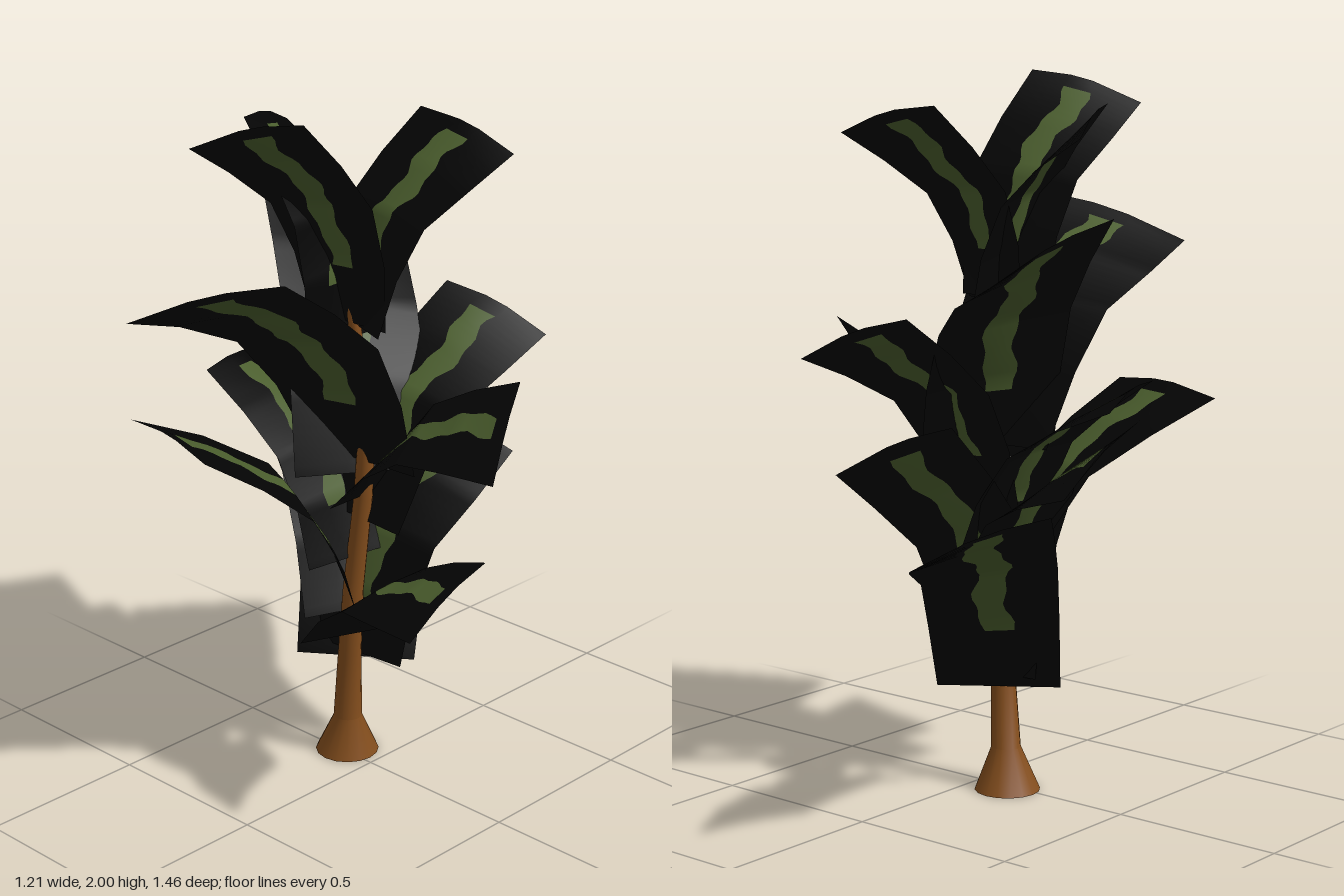
import * as THREE from 'three';
import { toCreasedNormals } from 'three/addons/utils/BufferGeometryUtils.js';

const material = (name, color) => {
  const m = new THREE.MeshStandardMaterial({ color, side: THREE.DoubleSide });
  m.name = name;
  return m;
};

// Trunk: an open tube whose rings follow a leaning path of [x, y, z, radius]
function trunkGeometry() {
  const path = [
    [-0.115, 0, -0.02, 0.093], [-0.102, 0.12, -0.01, 0.042], [-0.075, 0.33, 0.01, 0.034],
    [-0.05, 0.55, 0.02, 0.03], [-0.01, 0.85, 0.02, 0.027], [0.01, 1.0, 0.03, 0.025],
    [0.0, 1.28, 0.05, 0.02], [-0.02, 1.52, 0.065, 0.014],
  ];
  const n = path.length - 1;
  const geo = new THREE.CylinderGeometry(1, 1, 1, 16, n, true);
  const p = geo.attributes.position;
  for (let i = 0; i < p.count; i++) {
    const [x, y, z, r] = path[Math.round((p.getY(i) + 0.5) * n)];
    p.setXYZ(i, x + p.getX(i) * r, y, z + p.getZ(i) * r);
  }
  return toCreasedNormals(geo, 0.5);
}

// Arching blade from a level base to a slanted tip edge (far and near corners).
// Group 0 is the dark blade, group 1 the wavy stripe along the middle.
const ARCH = [0, 0.105, 0.15, 0.09, 0];
const FLARE = [0, 0.07, 0.09, 0.15, 0]; // extra width of the far edge
const sample = (table, t) => {
  const k = Math.min(3, Math.floor(t * 4));
  return THREE.MathUtils.lerp(table[k], table[k + 1], t * 4 - k);
};

function leafGeometry(base, far, near, seed) {
  const B = new THREE.Vector3(...base), F = new THREE.Vector3(...far), N = new THREE.Vector3(...near);
  const tip = F.clone().sub(N).setY(0);
  const slant = Math.atan(0.46);
  const side = tip.clone().applyAxisAngle(new THREE.Vector3(0, 1, 0), -slant)
    .setLength(tip.length() * Math.cos(slant) / 2);

  const edge = (start, end, t) => {
    const chord = end.clone().sub(start);
    const dir = chord.clone().normalize();
    const rise = new THREE.Vector3(0, 1, 0).addScaledVector(dir, -dir.y).normalize();
    return start.clone().addScaledVector(chord, t)
      .addScaledVector(rise, sample(ARCH, t) * chord.length());
  };

  const rows = 32, pos = [], dark = [], green = [];
  const farBase = B.clone().add(side), nearBase = B.clone().sub(side);
  for (let i = 0; i <= rows; i++) {
    const t = i / rows;
    const a = edge(nearBase, N, t);
    const b = edge(farBase, F, t).addScaledVector(side, sample(FLARE, t));
    const mid = 0.49 + 0.035 * Math.sin(t * 17 + seed);
    const half = 0.115 + 0.018 * Math.sin(t * 43 + seed * 2);
    for (const u of [0, mid - half, mid + half, 1]) {
      const v = a.clone().lerp(b, u);
      pos.push(v.x, v.y + 0.08 * t * u * (1 - u), v.z); // slight crown towards the tip
    }
    if (i === rows) break;
    for (let c = 0; c < 3; c++) {
      const q = i * 4 + c;
      const list = c === 1 && t > 0.2 && t < 0.92 ? green : dark;
      list.push(q, q + 1, q + 4, q + 1, q + 5, q + 4);
    }
  }
  const geo = new THREE.BufferGeometry();
  geo.setAttribute('position', new THREE.Float32BufferAttribute(pos, 3));
  geo.setIndex([...dark, ...green]);
  geo.addGroup(0, dark.length, 0);
  geo.addGroup(dark.length, green.length, 1);
  geo.computeVertexNormals();
  return geo;
}

// Each leaf: base centre, far tip corner, near tip corner
const LEAVES = {
  topFrontLeaf: [[-0.02, 1.38, 0.07], [-0.19, 1.91, 0.48], [0.1, 2.0, 0.35]],
  topRightLeaf: [[-0.02, 1.33, 0.08], [-0.43, 1.84, -0.11], [-0.3, 1.92, 0.18]],
  topBackLeaf: [[-0.01, 1.37, 0.05], [0.28, 1.84, -0.26], [-0.04, 1.92, -0.24]],
  upperFrontLeaf: [[0, 0.97, 0.04], [-0.17, 1.5, 0.73], [0.21, 1.64, 0.53]],
  upperBackRightLeaf: [[0, 0.93, 0.03], [-0.48, 1.49, -0.54], [-0.55, 1.64, -0.12]],
  upperBackLeaf: [[0, 0.78, 0.02], [0.2, 1.25, -0.51], [-0.09, 1.37, -0.41]],
  upperLeftLeaf: [[0, 0.86, 0.05], [0.6, 1.1, 0.17], [0.49, 1.3, -0.06]],
  middleFrontLeaf: [[-0.03, 0.52, 0.04], [-0.46, 1.09, 0.48], [-0.05, 1.1, 0.58]],
  middleRightLeaf: [[-0.04, 0.66, 0.03], [-0.54, 1.13, -0.12], [-0.44, 1.17, 0.21]],
  lowerRightLeaf: [[-0.06, 0.48, 0], [-0.61, 0.95, -0.4], [-0.59, 1.11, -0.05]],
  lowerLeftLeaf: [[-0.03, 0.43, 0.07], [0.46, 0.66, 0.33], [0.45, 0.79, 0.02]],
  lowerBackLeaf: [[-0.06, 0.33, -0.02], [0.18, 0.92, -0.4], [-0.1, 1.06, -0.24]],
  lowestBackRightLeaf: [[-0.1, 0.3, -0.04], [-0.38, 0.79, -0.73], [-0.57, 0.9, -0.4]],
};

export function createModel() {
  const bark = material('bark brown', 0x844e1d);
  const blade = material('leaf black', 0x040404);
  const stripe = material('stripe green', 0x4a5d2d);

  const plant = new THREE.Group();
  plant.name = 'leafyPlant';

  const trunk = new THREE.Mesh(trunkGeometry(), bark);
  trunk.name = 'trunk';
  plant.add(trunk);

  Object.entries(LEAVES).forEach(([name, corners], i) => {
    const leaf = new THREE.Mesh(leafGeometry(...corners, i * 1.7), [blade, stripe]);
    leaf.name = name;
    plant.add(leaf);
  });
  return plant;
}
